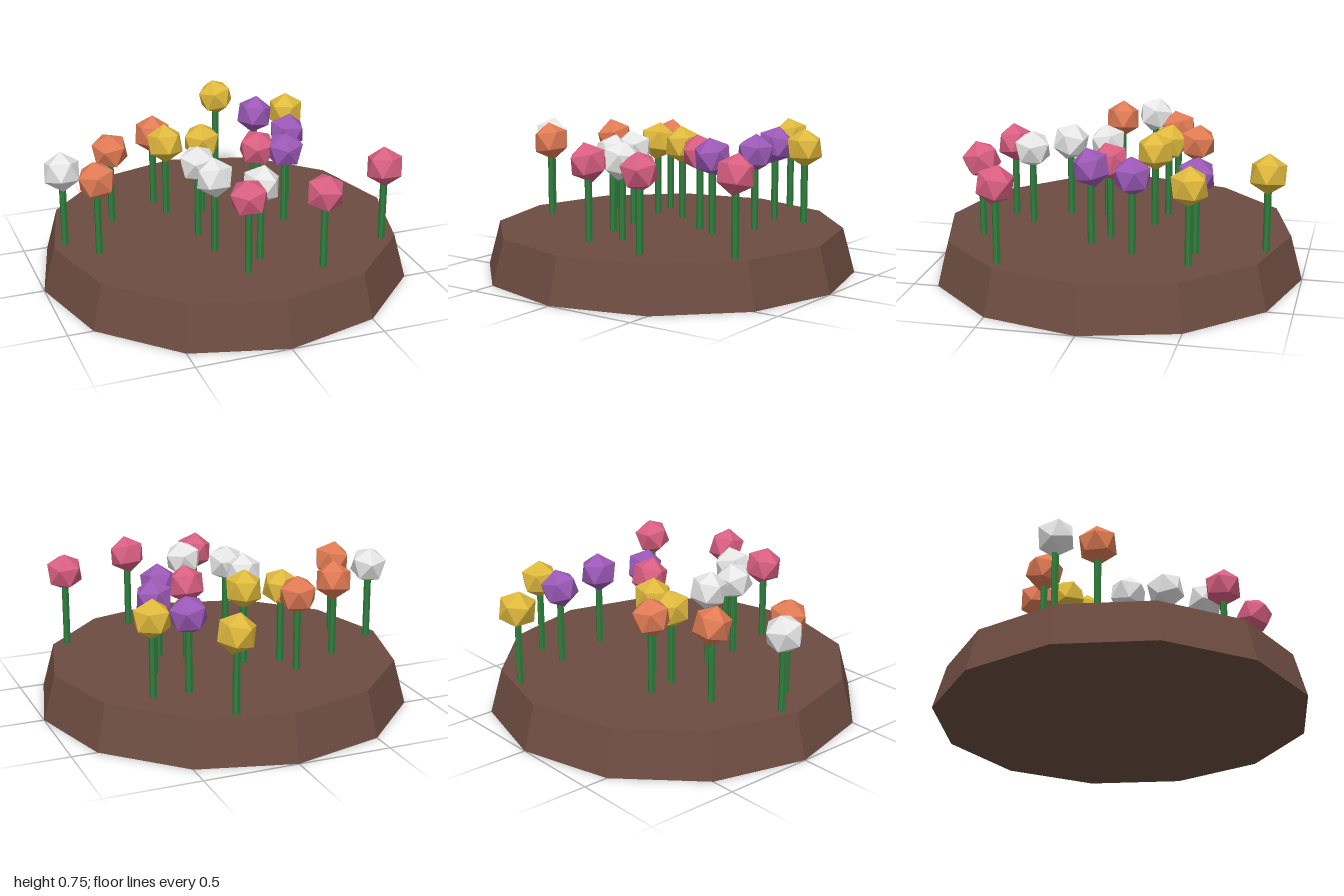
import * as THREE from 'three';

const SOIL_TOP = 0.24, HEAD_Y = 0.65, HEAD_R = 0.105;

function material(name, color) {
  const m = new THREE.MeshStandardMaterial({ color, flatShading: true });
  m.name = name;
  return m;
}

export function createModel() {
  const model = new THREE.Group();
  model.name = 'flowerBed';

  const soil = material('soil brown', 0x6d4c41);
  const green = material('stem green', 0x2f7d3c);
  // Flower positions [x, z] grouped by colour
  const beds = [
    ['yellow', 0xdfb93c, [[0.26, -0.83], [0.56, -0.475], [-0.245, -0.23], [-0.05, -0.19]]],
    ['purple', 0x9b59b6, [[0.37, -0.48], [0.44, -0.165], [0.33, 0.075]]],
    ['orange', 0xe07b54, [[-0.27, -0.385], [-0.555, -0.23], [-0.725, 0.13]]],
    ['white', 0xe6e6e6, [[-0.865, -0.04], [-0.17, 0.095], [-0.15, 0.3], [0.04, 0.465]]],
    ['pink', 0xd95f82, [[0.2, 0], [0.73, 0.465], [0.305, 0.667], [-0.075, 0.595]]],
  ];

  // Twelve-sided tapered mound
  const mound = new THREE.Mesh(new THREE.CylinderGeometry(0.935, 1, SOIL_TOP, 12), soil);
  mound.name = 'soilMound';
  mound.position.y = SOIL_TOP / 2;
  model.add(mound);

  // Stem, sunk slightly into the soil and ending inside the head
  const stemBottom = SOIL_TOP - 0.02;
  const stemGeo = new THREE.CylinderGeometry(0.019, 0.019, HEAD_Y - stemBottom, 6);
  stemGeo.translate(0, (HEAD_Y + stemBottom) / 2, 0);

  // Head: an icosahedron turned so that one corner points up
  const headGeo = new THREE.IcosahedronGeometry(HEAD_R, 0);
  headGeo.rotateZ(Math.atan2(1, (1 + Math.sqrt(5)) / 2));

  let index = 0;
  for (const [name, color, spots] of beds) {
    const petal = material(name + ' petals', color);
    for (const [x, z] of spots) {
      const flower = new THREE.Group();
      flower.name = name + 'Flower';
      flower.position.set(x, 0, z);

      const stem = new THREE.Mesh(stemGeo, green);
      stem.name = 'stem';
      const head = new THREE.Mesh(headGeo, petal);
      head.name = 'flowerHead';
      head.position.y = HEAD_Y;
      // Each head leans a little its own way
      head.rotation.set(0.2 * Math.sin(index * 2.4), index * 1.7, 0.2 * Math.cos(index * 2.4));

      flower.add(stem, head);
      model.add(flower);
      index++;
    }
  }
  return model;
}
